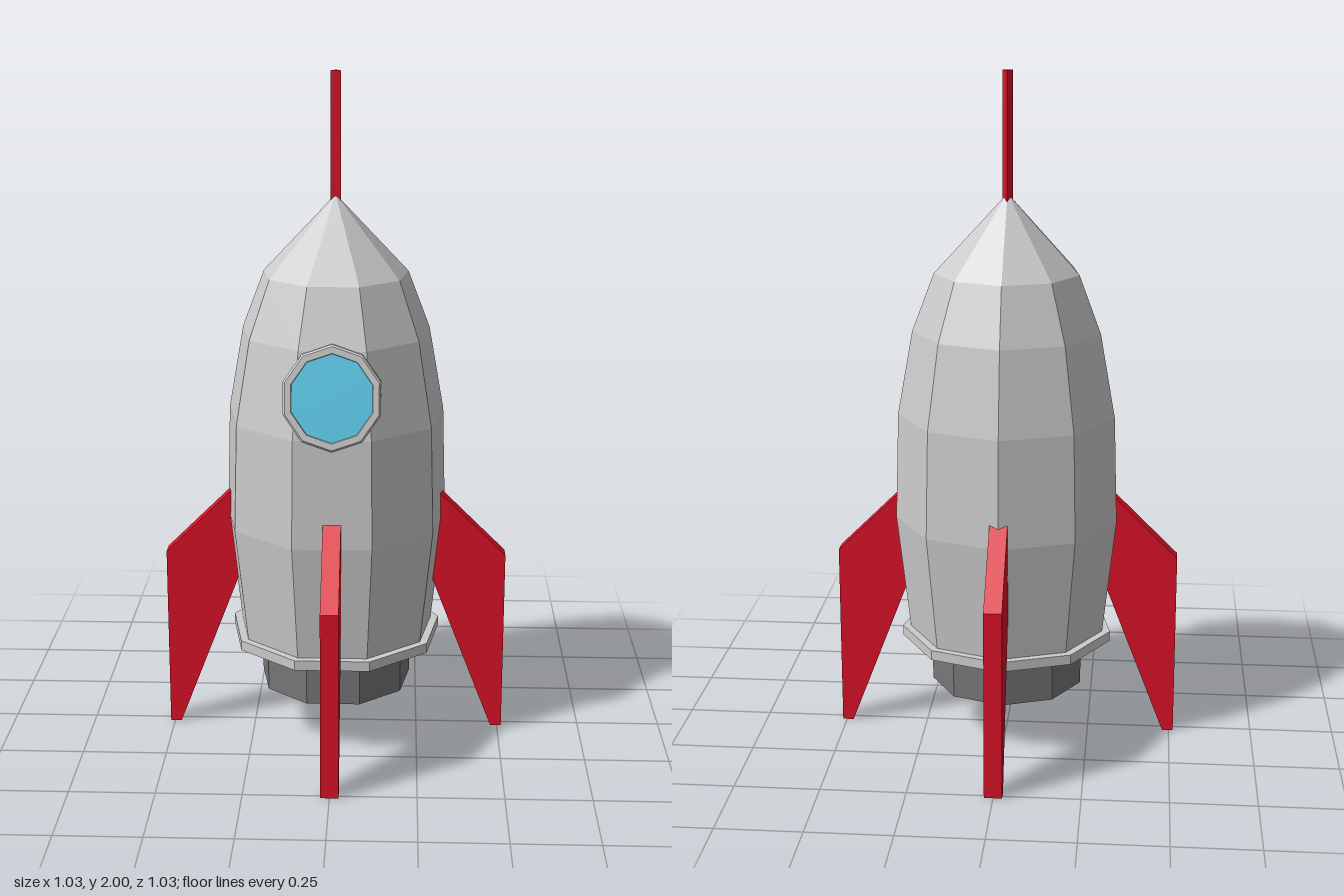
import * as THREE from 'three';

const SIDES = 9;
const paint = (color) => new THREE.MeshStandardMaterial({ color, flatShading: true });

// Faceted solid of revolution from [radius, height] pairs, with a corner at the back
function turned(name, profile, material, sides = SIDES) {
  const points = profile.map(([r, y]) => new THREE.Vector2(r, y));
  const mesh = new THREE.Mesh(new THREE.LatheGeometry(points, sides, Math.PI), material);
  mesh.name = name;
  return mesh;
}

export function createModel() {
  const rocket = new THREE.Group();
  rocket.name = 'rocket';
  const grey = paint(0xcccccc);
  const darkGrey = paint(0x777777);
  const red = paint(0xdd1228);
  const blue = paint(0x5fd0f0);

  // Hull, base rim and hollow engine nozzle
  const fuselage = new THREE.Group();
  fuselage.name = 'fuselage';
  fuselage.position.z = 0.004;
  fuselage.add(
    turned('hull', [[0.295, 0.32], [0.335, 0.68], [0.325, 1.0], [0.28, 1.25], [0.215, 1.42], [0, 1.65]], grey),
    turned('baseRim', [[0, 0.3], [0.32, 0.3], [0.32, 0.33], [0.28, 0.33]], grey),
    turned('nozzle', [[0, 0.29], [0.15, 0.29], [0.15, 0.155], [0.23, 0.155], [0.23, 0.31]], darkGrey)
  );
  rocket.add(fuselage);

  // Three-sided antenna
  const antenna = turned('antenna', [[0, 1.6], [0.0175, 1.6], [0.0175, 2], [0, 2]], red, 3);
  rocket.add(antenna);

  // Porthole, leaning back with the front panel of the hull
  const porthole = new THREE.Group();
  porthole.name = 'porthole';
  const frame = turned('portholeFrame',
    [[0.152, -0.025], [0.152, 0.01], [0.146, 0.016], [0.127, 0.016], [0.125, 0.008]], grey, 10);
  const glass = turned('portholeGlass', [[0.126, 0.01], [0, 0.012]], blue, 20);
  const back = turned('portholeBack', [[0, -0.025], [0.152, -0.025]], grey, 10);
  for (const part of [frame, glass, back]) {
    part.geometry.rotateX(Math.PI / 2);
    part.geometry.scale(0.95, 1, 1);
    porthole.add(part);
  }
  porthole.position.set(0, 1.122, 0.294);
  porthole.rotation.x = -0.17;
  rocket.add(porthole);

  // Four swept fins
  const outline = [[0.27, 0.545], [0.48, 0], [0.513, 0], [0.513, 0.56], [0.27, 0.8]];
  const finShape = new THREE.Shape(outline.map(([x, y]) => new THREE.Vector2(x, y)));
  const finGeometry = new THREE.ExtrudeGeometry(finShape, { depth: 0.052, bevelEnabled: false });
  finGeometry.translate(0, 0, -0.026);
  ['leftFin', 'backFin', 'rightFin', 'frontFin'].forEach((name, i) => {
    const fin = new THREE.Mesh(finGeometry, red);
    fin.name = name;
    fin.rotation.y = i * Math.PI / 2;
    rocket.add(fin);
  });

  return rocket;
}
